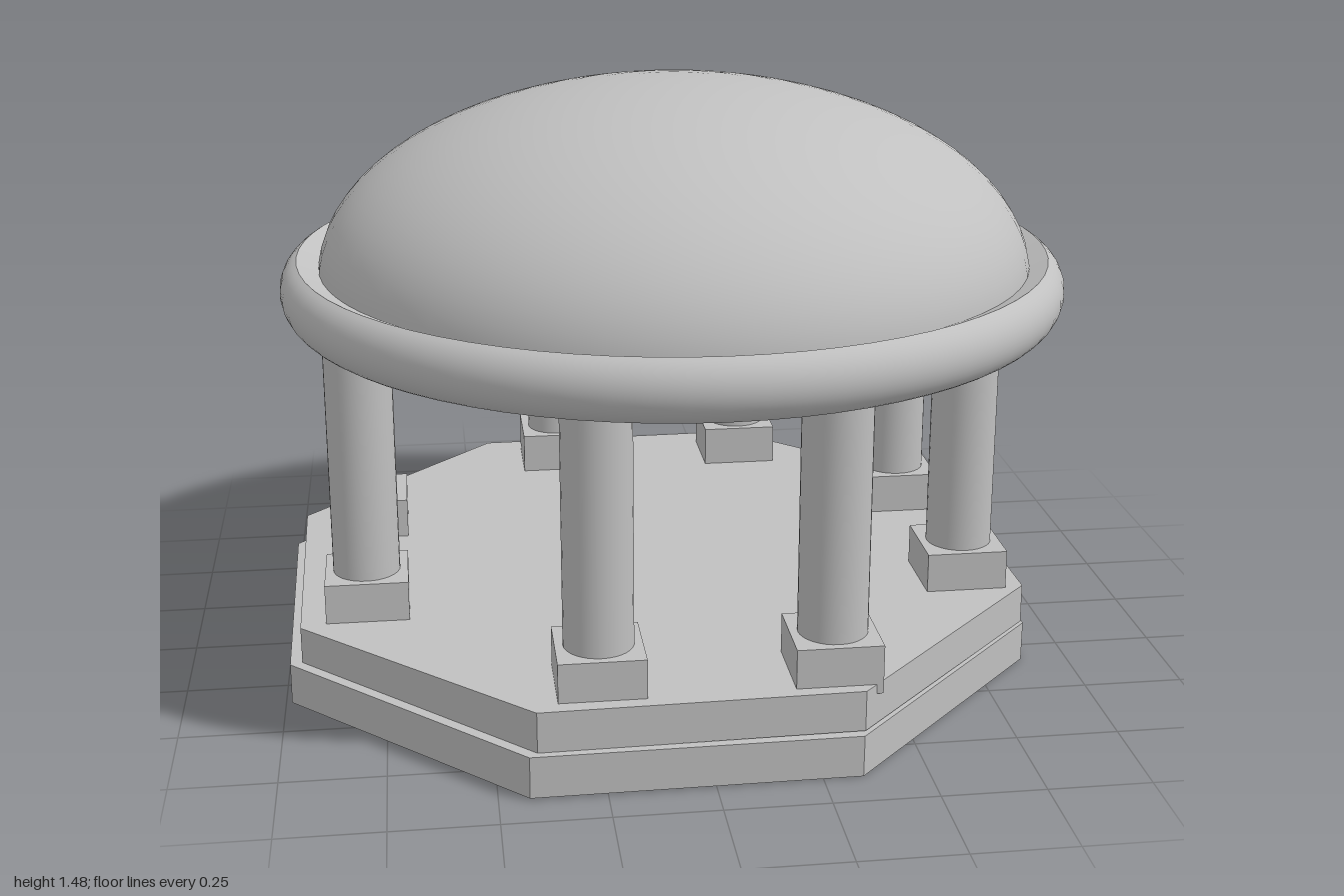
import * as THREE from 'three';
import { toCreasedNormals } from 'three/addons/utils/BufferGeometryUtils.js';

export function createModel() {
  const group = new THREE.Group();
  const stone = new THREE.MeshStandardMaterial({ color: 0xc0c0c0, side: THREE.DoubleSide });

  const add = (name, geometry, x, y, z) => {
    const mesh = new THREE.Mesh(toCreasedNormals(geometry, 0.5), stone);
    mesh.name = name;
    mesh.position.set(x, y, z);
    group.add(mesh);
    return mesh;
  };

  // Two slightly crooked octagonal steps
  const step = (name, radius, x, y, z, height, tiltX, tiltZ) => {
    const g = new THREE.CylinderGeometry(radius, radius, height, 8, 1, false, THREE.MathUtils.degToRad(23.5));
    add(name, g, x, y, z).rotation.set(tiltX, 0, tiltZ);
  };
  step('lowerStep', 1.01, -0.058, 0.056, -0.037, 0.103, 0.003, -0.005);
  step('upperStep', 0.992, -0.045, 0.15, -0.04, 0.1, -0.007, 0);

  // Eight square plinths; the one at the rear right has lost its column
  const spots = [
    [0.295, 0.735], [0.728, 0.23], [0.685, -0.335], [0.3, -0.785],
    [-0.24, -0.79], [-0.79, -0.32, true], [-0.79, 0.235], [-0.255, 0.74],
  ];
  for (const [x, z, broken] of spots) {
    add('plinth', new THREE.BoxGeometry(0.205, 0.12, 0.205), x, 0.243, z);
    if (!broken) add('column', new THREE.CylinderGeometry(0.083, 0.083, 0.7, 32), x, 0.65, z);
  }

  // Rounded ring with bevelled inner edges
  const ring = [new THREE.Vector2(0.845, 0.945)];
  for (let i = 0; i <= 14; i++) {
    const a = THREE.MathUtils.degToRad(-64 + (128 * i) / 14);
    ring.push(new THREE.Vector2(0.912 + 0.077 * Math.cos(a), 0.975 + 0.083 * Math.sin(a)));
  }
  ring.push(new THREE.Vector2(0.845, 1.005), ring[0].clone());
  add('ring', new THREE.LatheGeometry(ring, 72), 0.01, 0, -0.003);

  // Hollow dome shell
  const dome = new THREE.SphereGeometry(0.897, 64, 20, 0, Math.PI * 2, 0, Math.PI / 2);
  dome.scale(1, 0.477 / 0.897, 1);
  add('dome', dome, 0.014, 1.0, 0.003);

  return group;
}
